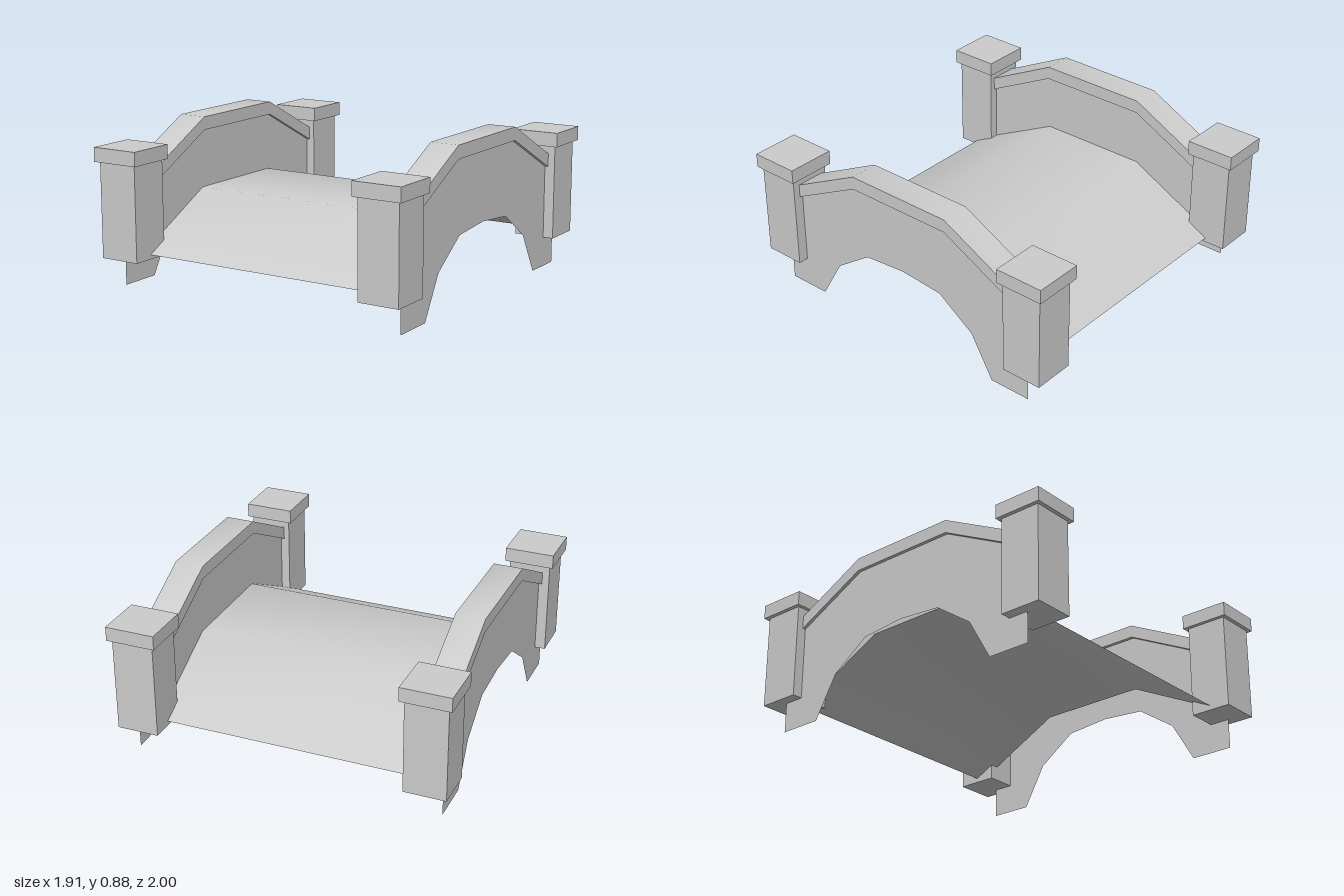
import * as THREE from 'three';

const solid = new THREE.MeshStandardMaterial({ color: 0xcccccc });
const thin = new THREE.MeshStandardMaterial({ color: 0xcccccc, side: THREE.DoubleSide });

// Shared hump line: flat in the middle, sloping to both ends
const CREST = 0.32, SLOPE = 0.51;
const hump = (x, top, end) => [end, CREST, -CREST, -end].map(
  z => new THREE.Vector3(x, top - SLOPE * Math.max(0, Math.abs(z) - CREST), z));

// Smoothly shaded band between two lines with equal point counts
function band(name, a, b) {
  const geo = new THREE.BufferGeometry().setFromPoints([...a, ...b]);
  const n = a.length, index = [];
  for (let i = 0; i < n - 1; i++) index.push(i, n + i, i + 1, i + 1, n + i, n + i + 1);
  geo.setIndex(index);
  geo.computeVertexNormals();
  const mesh = new THREE.Mesh(geo, thin);
  mesh.name = name;
  return mesh;
}

function box(name, w, y0, y1, d, x, z) {
  const mesh = new THREE.Mesh(new THREE.BoxGeometry(w, y1 - y0, d), solid);
  mesh.name = name;
  mesh.position.set(x, (y0 + y1) / 2, z);
  return mesh;
}

// Outer wall sheet with an arched opening below; drawn in (z, y)
function archWall(x) {
  const half = [[0.86, 0.525], [0.86, 0], [0.615, 0], [0.48, 0.235], [0.26, 0.388]];
  const pts = [[CREST, 0.8], ...half, [0, 0.41],
    ...half.map(([z, y]) => [-z, y]).reverse(), [-CREST, 0.8]];
  const geo = new THREE.ShapeGeometry(new THREE.Shape(pts.map(p => new THREE.Vector2(...p))));
  geo.rotateY(x > 0 ? Math.PI / 2 : -Math.PI / 2);
  const mesh = new THREE.Mesh(geo, thin);
  mesh.name = 'archWall';
  mesh.position.x = x;
  return mesh;
}

// Coping rail: top, underside, two sides and end faces
function rail(s) {
  const g = new THREE.Group();
  g.name = 'rail';
  const line = (x, top) => hump(s * x, top, 0.742);
  const inTop = line(0.73, 0.875), outTop = line(0.895, 0.875);
  const inLow = line(0.73, 0.8), outLow = line(0.895, 0.8);
  const [l, r] = s > 0 ? [0, 1] : [1, 0];
  const tops = [inTop, outTop], lows = [inLow, outLow];
  g.add(
    band('railTop', tops[r], tops[l]),
    band('railUnderside', lows[l], lows[r]),
    band('railInnerSide', s > 0 ? inTop : inLow, s > 0 ? inLow : inTop),
    band('railOuterSide', s > 0 ? outLow : outTop, s > 0 ? outTop : outLow));
  for (const i of [0, 3]) {
    g.add(band('railEnd', [inTop[i], outTop[i]], [inLow[i], outLow[i]]));
  }
  return g;
}

export function createModel() {
  const model = new THREE.Group();
  model.name = 'archedBridge';

  // Walkway
  model.add(band('deck', hump(0.75, 0.47, 0.86), hump(-0.75, 0.47, 0.86)));

  for (const s of [1, -1]) {
    // Parapet on each side
    const parapet = new THREE.Group();
    parapet.name = s > 0 ? 'leftParapet' : 'rightParapet';
    const low = hump(s * 0.75, 0.47, 0.86), high = hump(s * 0.75, 0.8, 0.86);
    parapet.add(archWall(s * 0.876), rail(s),
      band('innerWall', s > 0 ? high : low, s > 0 ? low : high));
    model.add(parapet);

    // Capped corner posts
    for (const e of [1, -1]) {
      const post = new THREE.Group();
      post.name = 'cornerPost';
      post.add(
        box('postShaft', 0.236, 0.17, 0.705, 0.236, s * 0.817, e * 0.86),
        box('postCap', 0.28, 0.705, 0.785, 0.28, s * 0.817, e * 0.86));
      model.add(post);
    }
  }
  return model;
}
